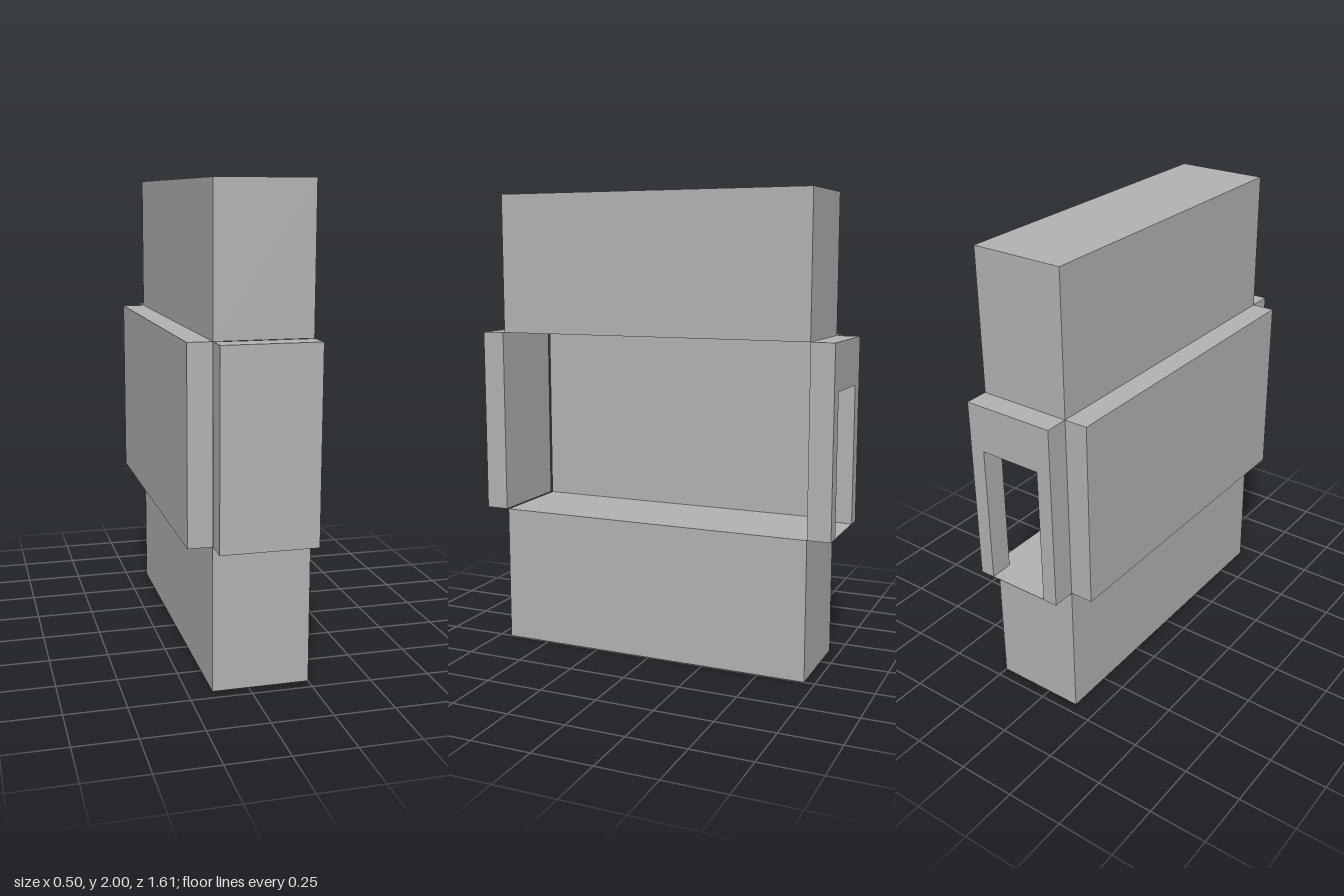
import * as THREE from 'three';

export function createModel() {
  const model = new THREE.Group();
  model.name = 'wallSection';
  const grey = new THREE.MeshStandardMaterial({ color: 0xb2b2b2 });
  grey.name = 'plain grey';

  // Box given by its lower and upper corners
  function block(name, [x0, y0, z0], [x1, y1, z1]) {
    const mesh = new THREE.Mesh(new THREE.BoxGeometry(x1 - x0, y1 - y0, z1 - z0), grey);
    mesh.position.set((x0 + x1) / 2, (y0 + y1) / 2, (z0 + z1) / 2);
    mesh.name = name;
    model.add(mesh);
  }

  const back = -0.704, front = 0.696;
  block('floorBlock', [-0.15, 0, back], [0.25, 0.6, front]);
  block('ceilingBlock', [-0.15, 1.4, back], [0.25, 2, front]);
  block('sideWall', [-0.25, 0.6, back], [-0.15, 1.4, front]);
  // Front wall stands a hair clear of the blocks
  block('frontWall', [-0.15, 0.6, 0.704], [0.25, 1.4, 0.804]);

  // Back wall with a doorway reaching down to a paper-thin sill
  const rect = (path, x0, y0, x1, y1) =>
    path.moveTo(x0, y0).lineTo(x1, y0).lineTo(x1, y1).lineTo(x0, y1).closePath();
  const outline = new THREE.Shape();
  rect(outline, -0.15, 0.6, 0.25, 1.4);
  const opening = new THREE.Path();
  rect(opening, -0.085, 0.602, 0.185, 1.2);
  outline.holes.push(opening);
  const doorway = new THREE.Mesh(
    new THREE.ExtrudeGeometry(outline, { depth: 0.1, bevelEnabled: false }), grey);
  doorway.position.z = back - 0.1;
  doorway.name = 'doorwayWall';
  model.add(doorway);

  return model;
}
